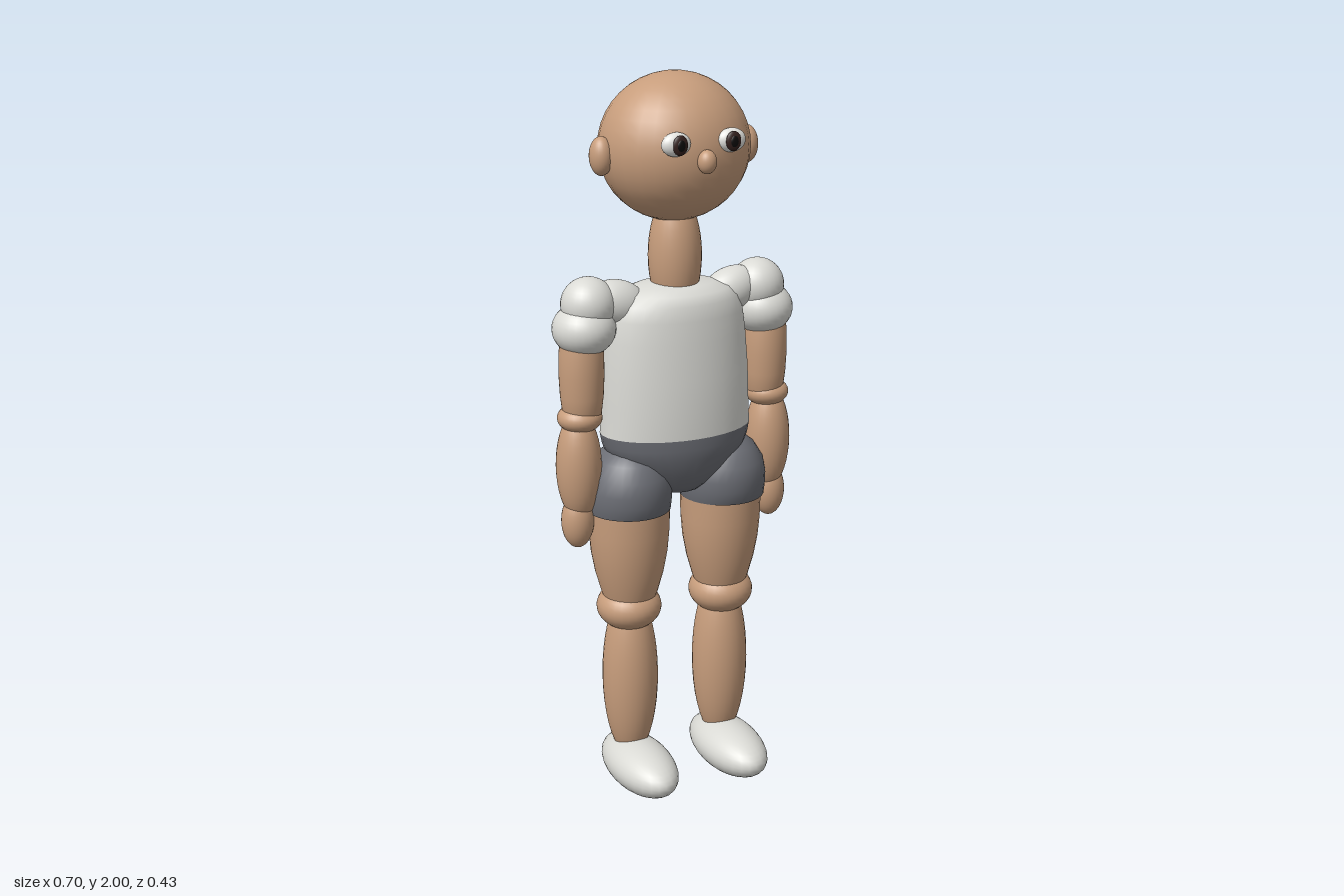
import * as THREE from 'three';

const mat = (name, color) => {
  const m = new THREE.MeshStandardMaterial({ color });
  m.name = name;
  return m;
};

export function createModel() {
  const skin = mat('skin', 0xc79d7c);
  const white = mat('whiteCloth', 0xdadad5);
  const grey = mat('greyShorts', 0x6c6e75);
  const eyeWhite = mat('eyeWhite', 0xe4e4e0);
  const iris = mat('darkBrown', 0x33201d);
  const black = mat('black', 0x0c0a0a);

  const model = new THREE.Group();
  model.name = 'figure';
  const Z = -0.023; // depth of the body axis

  // Smooth ellipsoid
  const ball = (parent, name, material, [x, y, z], [rx, ry, rz], tilt = 0) => {
    const mesh = new THREE.Mesh(new THREE.SphereGeometry(1, 28, 20), material);
    mesh.name = name;
    mesh.position.set(x, y, z);
    mesh.scale.set(rx, ry, rz);
    mesh.rotation.z = tilt;
    parent.add(mesh);
    return mesh;
  };

  // Elliptical rings [y, halfWidth, halfDepth] from bottom to top
  const loft = (parent, name, material, x, rings) => {
    const n = 32, pos = [], idx = [];
    rings.forEach(([y, rx, rz = rx], i) => {
      for (let j = 0; j < n; j++) {
        const a = (j / n) * Math.PI * 2;
        pos.push(rx * Math.cos(a), y, rz * Math.sin(a));
        if (i < rings.length - 1) {
          const p = i * n + j, q = i * n + ((j + 1) % n);
          idx.push(p, p + n, q, q, p + n, q + n);
        }
      }
    });
    const geo = new THREE.BufferGeometry();
    geo.setAttribute('position', new THREE.Float32BufferAttribute(pos, 3));
    geo.setIndex(idx);
    geo.computeVertexNormals();
    const mesh = new THREE.Mesh(geo, material);
    mesh.name = name;
    mesh.position.set(x, 0, Z);
    parent.add(mesh);
    return mesh;
  };

  // Head, nose and neck
  ball(model, 'head', skin, [0, 1.805, -0.027], [0.204, 0.195, 0.187]);
  ball(model, 'nose', skin, [0, 1.795, 0.166], [0.025, 0.031, 0.025]);
  ball(model, 'neck', skin, [0, 1.515, Z], [0.072, 0.17, 0.072]);

  // Shirt and pelvis
  loft(model, 'shirt', white, 0, [
    [1.04, 0.216, 0.141], [1.12, 0.212, 0.141], [1.2, 0.21, 0.138], [1.3, 0.202, 0.131],
    [1.36, 0.194, 0.126], [1.4, 0.18, 0.12], [1.425, 0.155, 0.105], [1.44, 0.11, 0.075],
    [1.448, 0.05, 0.04], [1.45, 0, 0],
  ]);
  loft(model, 'pelvis', grey, 0, [
    [0.866, 0, 0], [0.868, 0.068, 0.07], [0.89, 0.1, 0.095], [0.93, 0.155, 0.12],
    [0.98, 0.198, 0.136], [1.01, 0.21, 0.14], [1.04, 0.216, 0.141],
  ]);

  for (const s of [1, -1]) {
    const side = s > 0 ? 'left' : 'right';

    // Face
    const face = new THREE.Group();
    face.name = side + 'Face';
    ball(face, 'ear', skin, [s * 0.21, 1.795, Z], [0.031, 0.051, 0.035]);
    ball(face, 'eyeball', eyeWhite, [s * 0.078, 1.842, 0.146], [0.04, 0.031, 0.023]);
    ball(face, 'iris', iris, [s * 0.075, 1.842, 0.165], [0.021, 0.026, 0.009]);
    ball(face, 'pupil', black, [s * 0.075, 1.842, 0.17], [0.012, 0.016, 0.006]);

    // Arm
    const arm = new THREE.Group();
    arm.name = side + 'Arm';
    ball(arm, 'collar', white, [s * 0.165, 1.403, Z], [0.085, 0.06, 0.056], s * 0.35);
    ball(arm, 'shoulder', white, [s * 0.25, 1.407, Z - 0.004], [0.074, 0.073, 0.073]);
    ball(arm, 'sleeve', white, [s * 0.264, 1.342, Z - 0.003], [0.085, 0.072, 0.088]);
    loft(arm, 'upperArm', skin, s * 0.274, [
      [1.08, 0.035], [1.11, 0.052], [1.16, 0.058], [1.22, 0.061], [1.28, 0.06], [1.34, 0.05],
    ]);
    ball(arm, 'elbow', skin, [s * 0.281, 1.1, Z], [0.061, 0.039, 0.061]);
    ball(arm, 'forearm', skin, [s * 0.286, 0.965, Z], [0.062, 0.152, 0.062]);
    ball(arm, 'hand', skin, [s * 0.292, 0.81, Z], [0.045, 0.077, 0.043]);

    // Leg
    const leg = new THREE.Group();
    leg.name = side + 'Leg';
    loft(leg, 'shortsLeg', grey, s * 0.143, [
      [0.825, 0.112], [0.826, 0.117, 0.121], [0.86, 0.12, 0.127], [0.89, 0.12, 0.13],
      [0.93, 0.112, 0.125], [0.97, 0.088, 0.1], [0.995, 0.058, 0.068], [1.01, 0.025, 0.03], [1.014, 0, 0],
    ]);
    loft(leg, 'thigh', skin, s * 0.14, [
      [0.53, 0.06], [0.58, 0.078, 0.08], [0.64, 0.095], [0.7, 0.106],
      [0.76, 0.111, 0.112], [0.84, 0.113, 0.115],
    ]);
    ball(leg, 'knee', skin, [s * 0.142, 0.535, Z], [0.09, 0.066, 0.092]);
    ball(leg, 'shin', skin, [s * 0.14, 0.325, Z], [0.078, 0.255, 0.078]);
    ball(leg, 'shoe', white, [s * 0.14, 0.071, 0.037], [0.088, 0.069, 0.177]);

    model.add(face, arm, leg);
  }
  return model;
}
